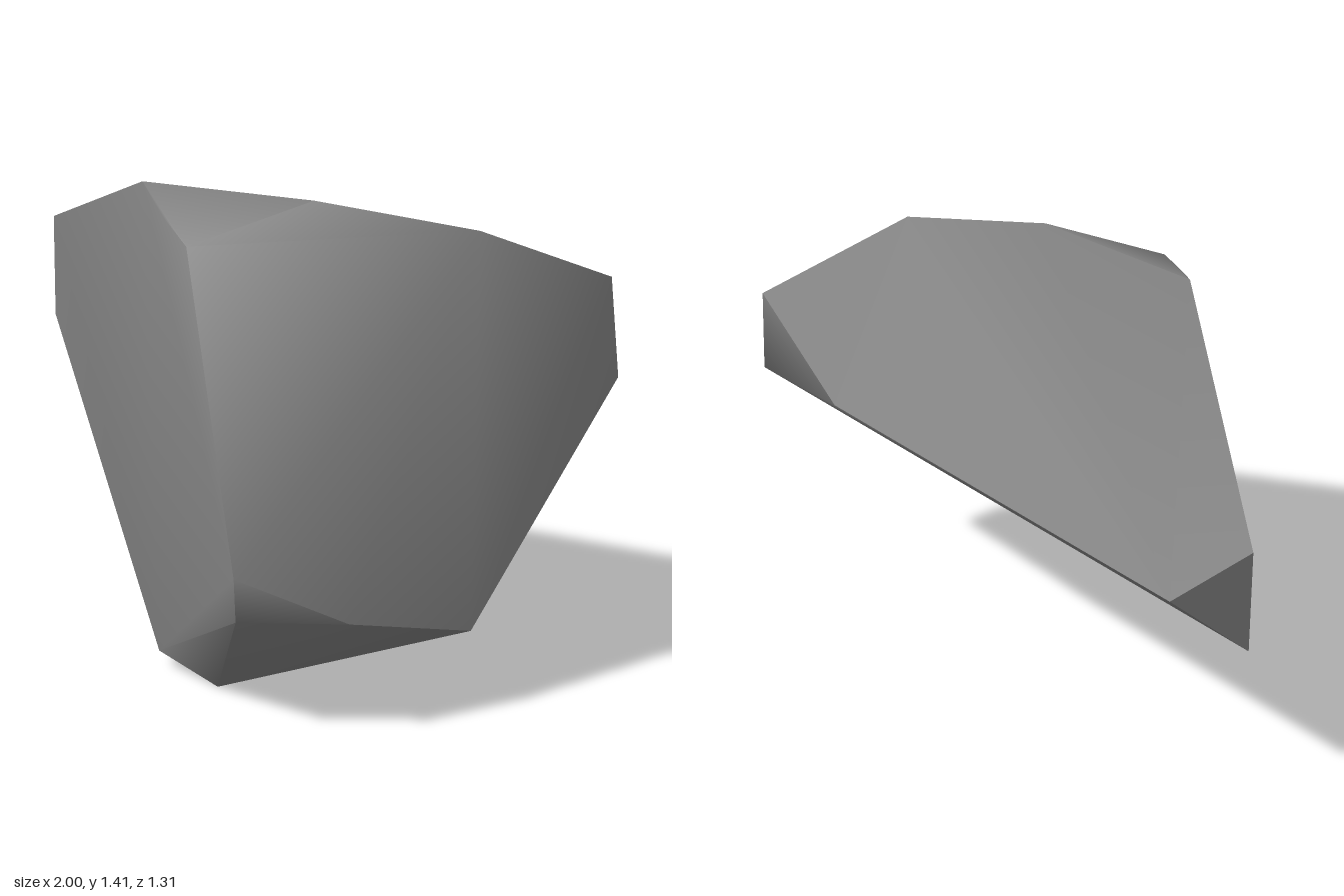
import * as THREE from 'three';
import { ConvexGeometry } from 'three/addons/geometries/ConvexGeometry.js';
import { toCreasedNormals } from 'three/addons/utils/BufferGeometryUtils.js';

export function createModel() {
  const group = new THREE.Group();
  group.name = 'rock';
  const stone = new THREE.MeshStandardMaterial({ color: 0x808080 });
  stone.name = 'stone grey';

  // corners of the flat slanted base, in order round the outline
  const base = [
    [1.0, 0.24, -0.02], [0.41, 0, 0.42], [0.17, 0.05, 0.455], [-1, 0.81, 0.03],
    [-1, 1.06, -0.22], [0.29, 1.07, -0.655], [0.92, 0.86, -0.655],
  ];
  // corners of the domed upper side
  const dome = [
    [-1, 1.14, 0.03], [-0.04, 1.41, 0.35], [0.48, 1.4, 0.13], [0.83, 1.33, -0.18],
    [0.88, 1.15, -0.655], [0.33, 1.285, 0.465], [0.15, 1.34, 0.415],
    [0.79, 0.47, 0.652], [0.75, 0.33, 0.615], [0.95, 0.33, 0.38],
  ];
  const corners = [...base, ...dome].map((p) => new THREE.Vector3(...p));

  // rounded shading over the dome, sharp round the base
  const body = new THREE.Mesh(toCreasedNormals(new ConvexGeometry(corners), 0.95), stone);
  body.name = 'rockBody';
  group.add(body);
  return group;
}
